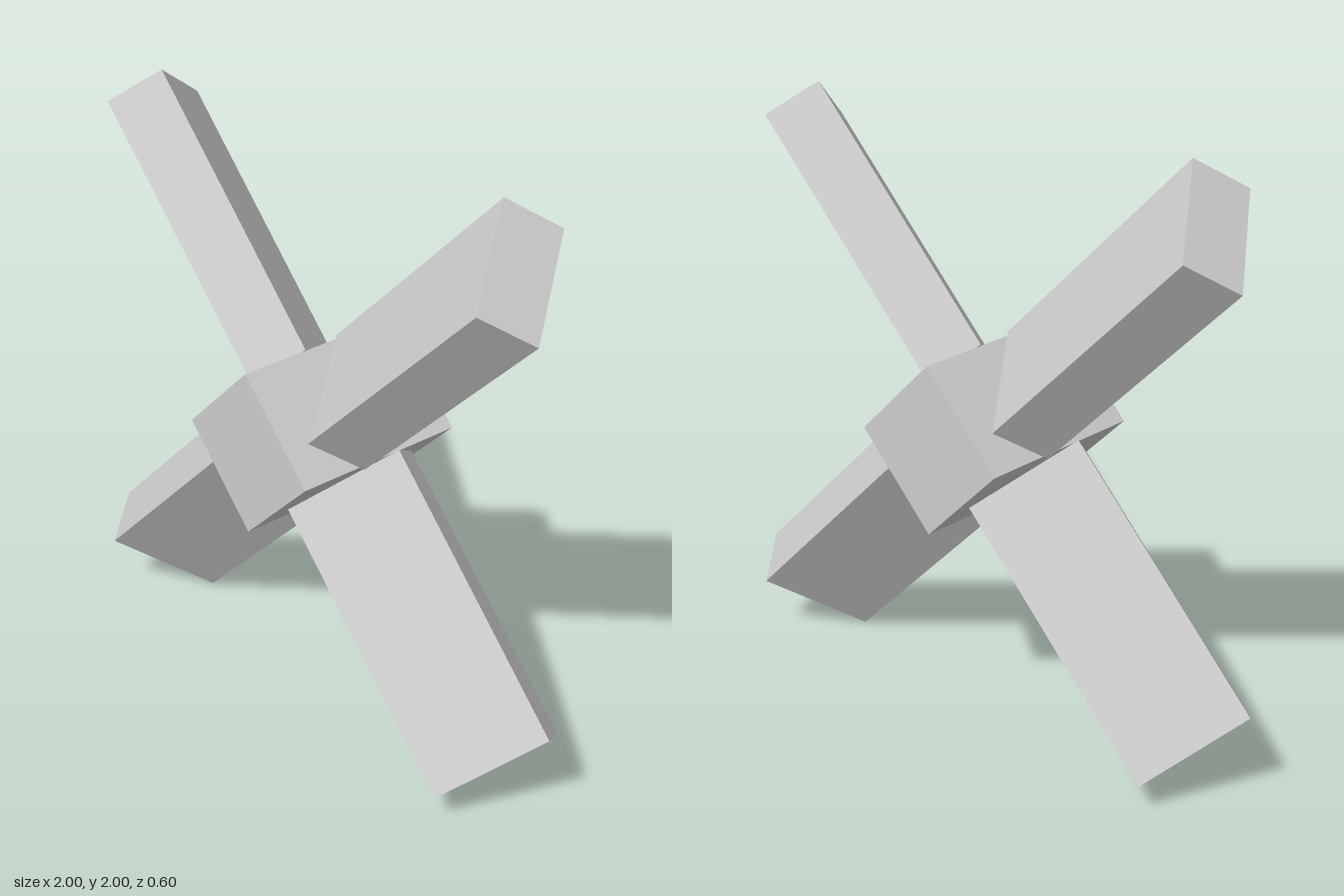
import * as THREE from 'three';

export function createModel() {
  const model = new THREE.Group();
  model.name = 'propeller';
  const material = new THREE.MeshStandardMaterial({ color: 0xcccccc, flatShading: true });

  // Everything turns about the z axis through the hub centre
  const rotor = new THREE.Group();
  rotor.name = 'rotor';
  rotor.position.y = 1;
  rotor.rotation.z = Math.PI / 4;
  model.add(rotor);

  // Square hub
  const hub = new THREE.Mesh(new THREE.BoxGeometry(0.4, 0.4, 0.6), material);
  hub.name = 'hub';
  rotor.add(hub);

  // Four blades, each pitched 45 degrees about its own length
  const bladeGeometry = new THREE.BoxGeometry(1, 0.4, 0.2);
  bladeGeometry.rotateX(-Math.PI / 4);
  bladeGeometry.translate(0.7, 0, 0);
  for (let i = 0; i < 4; i++) {
    const blade = new THREE.Mesh(bladeGeometry, material);
    blade.name = `blade${i + 1}`;
    blade.rotation.z = (i * Math.PI) / 2;
    rotor.add(blade);
  }

  return model;
}
